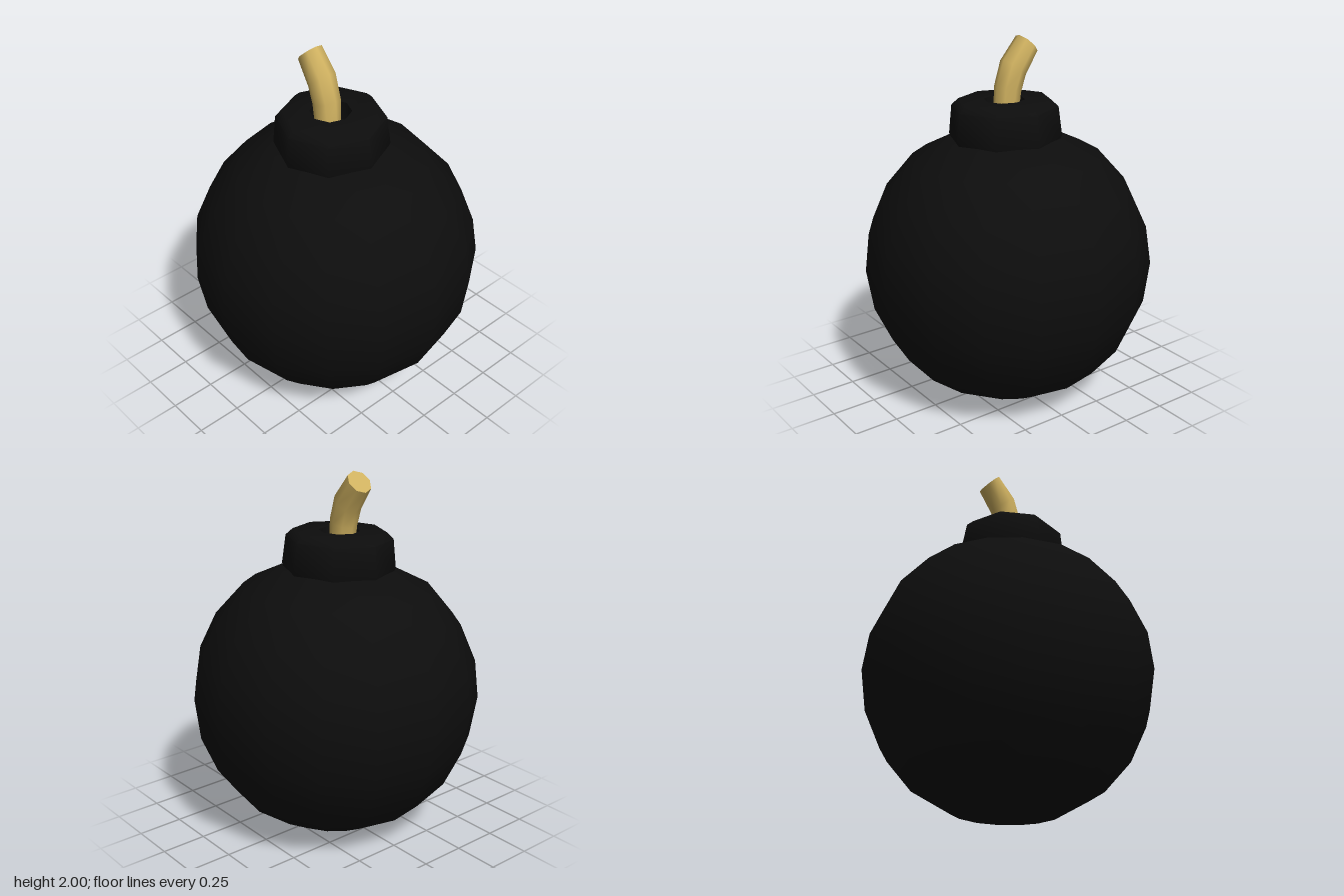
import * as THREE from 'three';
import { toCreasedNormals } from 'three/addons/utils/BufferGeometryUtils.js';

const blackIron = new THREE.MeshStandardMaterial({ color: 0x0d0d0d });
const ropeTan = new THREE.MeshStandardMaterial({ color: 0xcfb160 });
blackIron.name = 'blackIron';
ropeTan.name = 'ropeTan';

const lathe = (points, sides) =>
  new THREE.LatheGeometry(points.map(([r, y]) => new THREE.Vector2(r, y)), sides);

function addMesh(parent, name, geometry, material) {
  const mesh = new THREE.Mesh(geometry, material);
  mesh.name = name;
  parent.add(mesh);
}

// Low-poly ball whose sixteen sides are drawn slightly towards the diagonals
function ballGeometry() {
  const geometry = lathe([
    [0, -0.77], [0.3, -0.73], [0.52, -0.6], [0.665, -0.43], [0.755, -0.23], [0.788, 0],
    [0.76, 0.21], [0.67, 0.41], [0.515, 0.59], [0.31, 0.69], [0, 0.74],
  ], 16);
  const p = geometry.attributes.position;
  for (let i = 0; i < p.count; i++) {
    const r = Math.hypot(p.getX(i), p.getZ(i));
    const a = Math.atan2(p.getX(i), p.getZ(i));
    const b = a + 0.026 * Math.sin(4 * a);
    p.setX(i, r * Math.sin(b));
    p.setZ(i, r * Math.cos(b));
  }
  return geometry;
}

// Bent rope: each ring of a cylinder gets its own centre, lean and radius
function fuseGeometry() {
  const rings = [
    { x: -0.15, y: 1.95, lean: 0.79, r: 0.07 },
    { x: -0.06, y: 1.83, lean: 0.69, r: 0.078 },
    { x: -0.025, y: 1.72, lean: 0.3, r: 0.074 },
    { x: -0.013, y: 1.57, lean: 0, r: 0.068 },
  ];
  const geometry = new THREE.CylinderGeometry(1, 1, 1, 8, rings.length - 1);
  const p = geometry.attributes.position;
  for (let i = 0; i < p.count; i++) {
    const ring = rings[Math.round((0.5 - p.getY(i)) * (rings.length - 1))];
    const across = p.getX(i) * ring.r;
    p.setXYZ(i,
      ring.x + across * Math.cos(ring.lean),
      ring.y + across * Math.sin(ring.lean),
      0.035 + p.getZ(i) * ring.r);
  }
  return toCreasedNormals(geometry, 0.9);
}

export function createModel() {
  const model = new THREE.Group();
  model.name = 'roundBomb';

  // Ball and collar lean slightly forward together
  const shell = new THREE.Group();
  shell.name = 'shell';
  shell.position.y = 0.772;
  shell.rotation.x = 0.032;
  model.add(shell);
  addMesh(shell, 'ball', ballGeometry(), blackIron);

  // Octagonal collar with a bevelled rim and a hole for the fuse
  const collar = lathe([
    [0.28, 0.64], [0.306, 0.71], [0.288, 0.865], [0.25, 0.9],
    [0.11, 0.9], [0.1, 0.8], [0, 0.8],
  ], 8);
  addMesh(shell, 'collar', toCreasedNormals(collar, 0.9), blackIron);

  addMesh(model, 'fuse', fuseGeometry(), ropeTan);
  return model;
}
